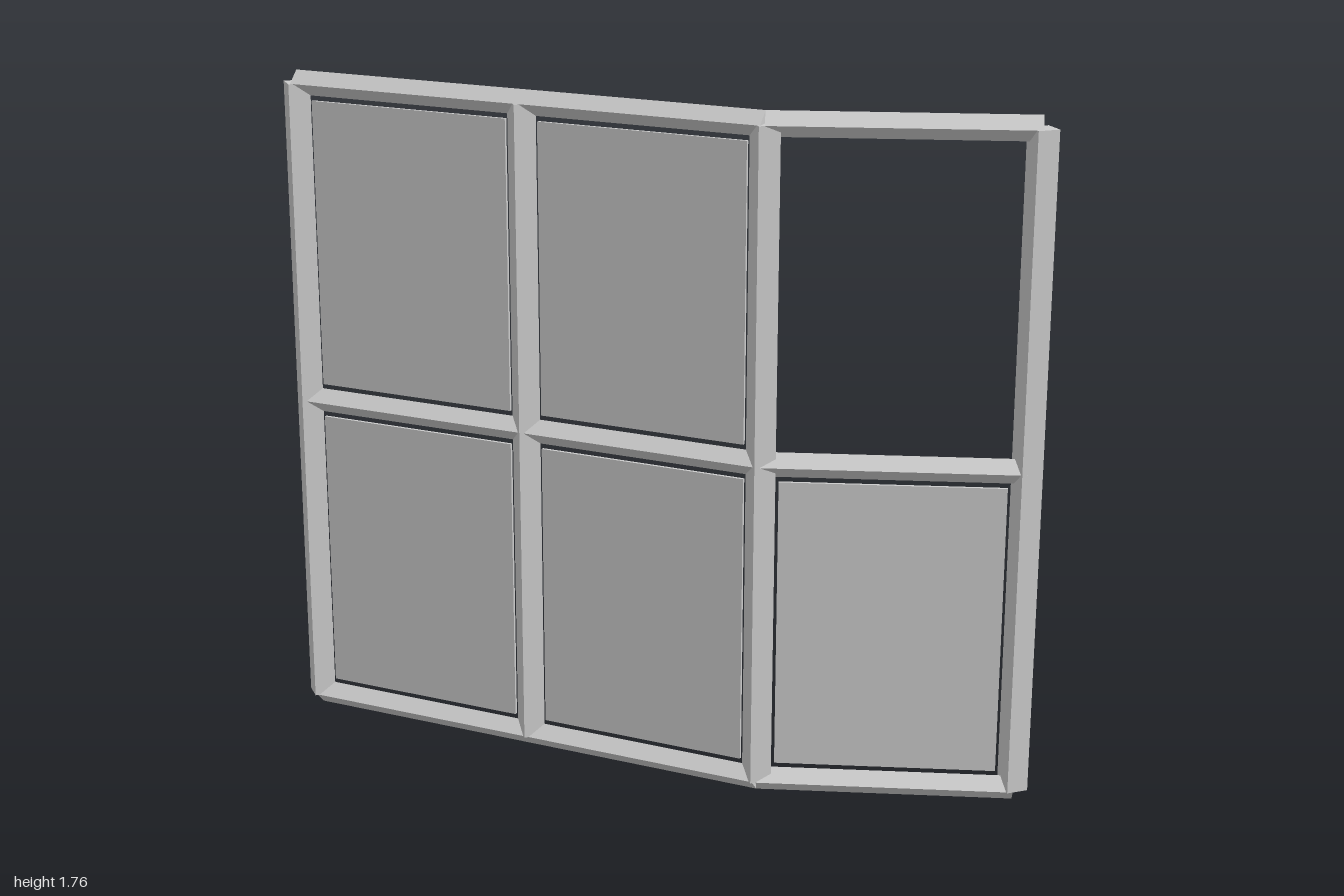
import * as THREE from 'three';

export function createModel() {
  const model = new THREE.Group();
  model.name = 'windowFrame';
  const grey = new THREE.MeshStandardMaterial({ color: 0xcccccc });
  grey.name = 'lightGrey';

  const span = 0.652, bend = THREE.MathUtils.degToRad(20);
  const postRadius = 0.04, barRadius = 0.032, paneGap = 0.045, rise = 0.85;
  const base = barRadius;

  // Plan of the post centres: two straight bays, then one angled back
  const angles = [0, 0, bend];
  const points = [new THREE.Vector2(-0.96, 0.112)];
  angles.forEach((a, i) => points.push(new THREE.Vector2(
    points[i].x + span * Math.cos(a), points[i].y - span * Math.sin(a))));

  // Four-sided rods standing on edge give the diamond section
  const rod = (radius, length) =>
    new THREE.CylinderGeometry(radius, radius, length, 4, 1).toNonIndexed();
  const postGeometry = rod(postRadius, rise * 2);
  const barGeometry = rod(barRadius, span).rotateZ(Math.PI / 2);
  const paneGeometry = new THREE.BoxGeometry(span - 2 * paneGap, rise - 2 * paneGap, 0.008);
  for (const g of [postGeometry, barGeometry]) g.computeVertexNormals();

  const add = (name, geometry, x, y, z, turn = 0) => {
    const mesh = new THREE.Mesh(geometry, grey);
    mesh.name = name;
    mesh.position.set(x, y, z);
    mesh.rotation.y = turn;
    model.add(mesh);
  };

  // Upright posts
  points.forEach((p, i) => add(`post${i + 1}`, postGeometry, p.x, base + rise, p.y));

  // Rails and panes bay by bay; the upper angled bay stays open
  angles.forEach((turn, i) => {
    const mid = points[i].clone().add(points[i + 1]).multiplyScalar(0.5);
    ['bottomRail', 'middleRail', 'topRail'].forEach((name, row) =>
      add(`${name}${i + 1}`, barGeometry, mid.x, base + row * rise, mid.y, turn));
    ['lowerPane', 'upperPane'].forEach((name, row) => {
      if (i === 2 && row === 1) return;
      add(`${name}${i + 1}`, paneGeometry, mid.x, base + (row + 0.5) * rise, mid.y, turn);
    });
  });

  return model;
}
